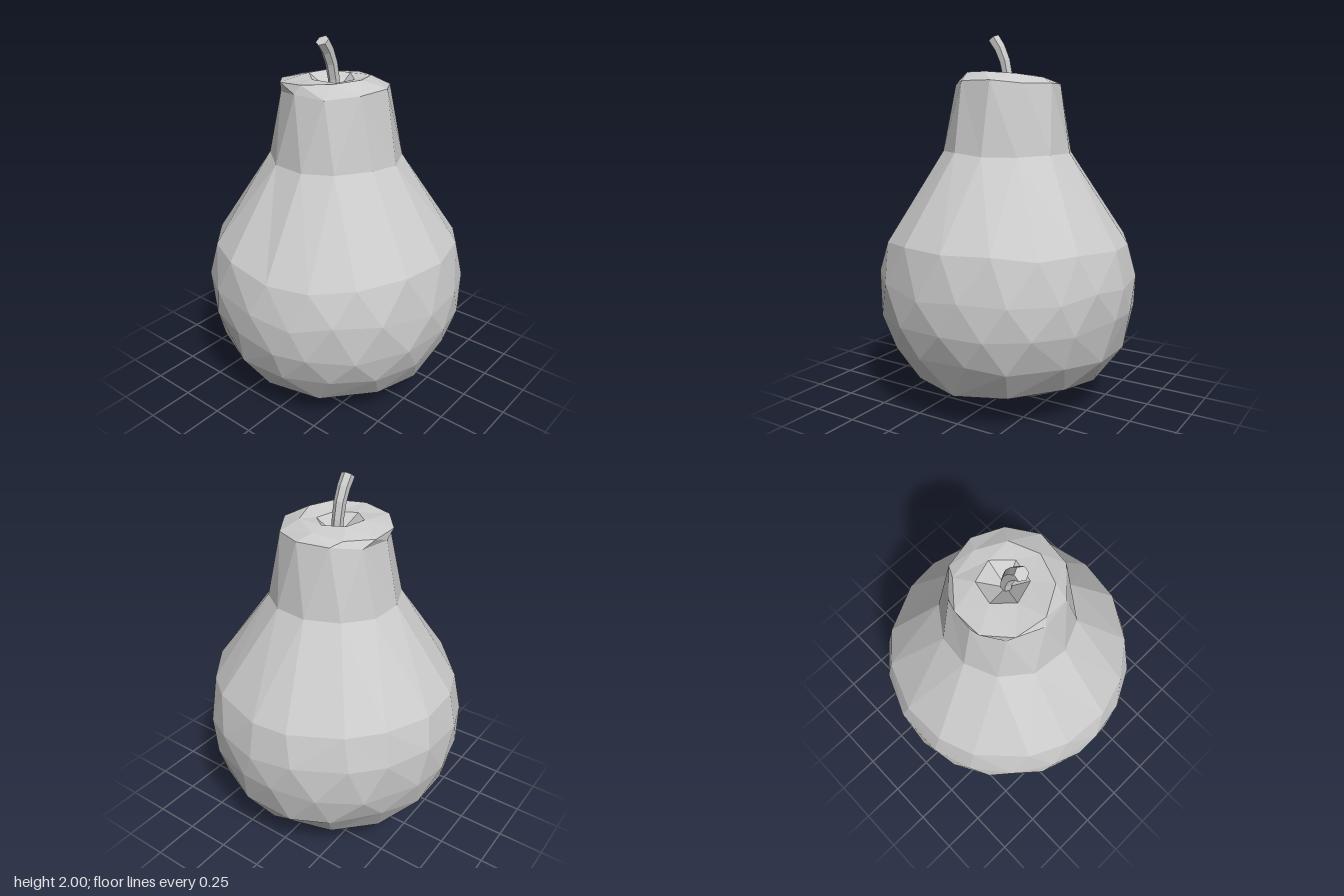
import * as THREE from 'three';

const material = new THREE.MeshStandardMaterial({ color: 0xcccccc, flatShading: true, side: THREE.DoubleSide });

// Small repeatable noise in -1..1
let seed = 7;
const noise = () => {
  seed = (seed * 16807) % 2147483647;
  return (seed / 2147483647) * 2 - 1;
};

// Ring of n points; tiltX and tiltZ slope it, twist is in steps
function ring({ y, r, n, x = 0, z = 0, tiltX = 0, tiltZ = 0, twist = 0, rough = 0 }) {
  return Array.from({ length: n }, (_, i) => {
    const a = ((i + twist + noise() * rough * 6) / n) * Math.PI * 2;
    const px = x + Math.sin(a) * r;
    const pz = z + Math.cos(a) * r;
    return { a, p: [px, y + px * tiltX + pz * tiltZ + noise() * rough, pz] };
  });
}

// Joins two rings of any point counts with triangles, in order of angle
function stitch(low, high, out) {
  const at = (loop, i) => loop[i % loop.length].p;
  const angle = (loop, i) => loop[i % loop.length].a + Math.floor(i / loop.length) * Math.PI * 2;
  const endLow = low.length > 1 ? low.length : 0;
  const endHigh = high.length > 1 ? high.length : 0;
  let i = 0, j = 0;
  while (i < endLow || j < endHigh) {
    const stepLow = j >= endHigh || (i < endLow && angle(low, i + 1) <= angle(high, j + 1));
    if (stepLow) {
      out.push(...at(low, i), ...at(low, i + 1), ...at(high, j));
      i++;
    } else {
      out.push(...at(low, i), ...at(high, j + 1), ...at(high, j));
      j++;
    }
  }
}

// Faceted pear body, from the underside up and over into the dimple
function createBody() {
  const rings = [
    { y: 0.025, r: 0, n: 1 },
    { y: 0.025, r: 0.24, n: 7, tiltX: 0.06, tiltZ: 0.1, twist: 0.4 },
    { y: 0.19, r: 0.55, n: 12, rough: 0.02 },
    { y: 0.36, r: 0.655, n: 16, twist: 0.5, rough: 0.025 },
    { y: 0.54, r: 0.703, n: 18, rough: 0.03 },
    { y: 0.71, r: 0.708, n: 18, twist: 0.5, rough: 0.025 },
    { y: 0.91, r: 0.665, n: 17, rough: 0.025 },
    { y: 1.38, r: 0.352, n: 12, twist: 0.3, rough: 0.01 },
    { y: 1.74, r: 0.283, n: 10, tiltZ: 0.05, twist: 0.3, rough: 0.01 },
    { y: 1.785, r: 0.238, n: 9, x: -0.025, z: -0.055, tiltX: -0.04, tiltZ: 0.1 },
    { y: 1.785, r: 0.125, n: 6, z: -0.03, tiltZ: -0.06, twist: 0.3 },
    { y: 1.69, r: 0, n: 1, z: -0.01 },
  ].map(ring);
  const positions = [];
  for (let k = 0; k + 1 < rings.length; k++) stitch(rings[k], rings[k + 1], positions);
  const geometry = new THREE.BufferGeometry();
  geometry.setAttribute('position', new THREE.Float32BufferAttribute(positions, 3));
  geometry.computeVertexNormals();
  const body = new THREE.Mesh(geometry, material);
  body.name = 'pearBody';
  return body;
}

// Six-sided stem, a cylinder bent along a curve
function createStem() {
  const curve = new THREE.CatmullRomCurve3([
    new THREE.Vector3(0.0, 1.68, -0.01),
    new THREE.Vector3(-0.012, 1.81, -0.01),
    new THREE.Vector3(-0.045, 1.91, -0.01),
    new THREE.Vector3(-0.095, 1.983, -0.01),
  ]);
  const geometry = new THREE.CylinderGeometry(0.035, 0.029, 1, 6, 4);
  geometry.rotateY(Math.PI / 6);
  const pos = geometry.attributes.position;
  for (let i = 0; i < pos.count; i++) {
    const t = THREE.MathUtils.clamp(pos.getY(i) + 0.5, 0, 1);
    const p = curve.getPoint(t);
    const d = curve.getTangent(t);
    const side = pos.getX(i);
    pos.setXYZ(i, p.x + d.y * side, p.y - d.x * side, p.z + pos.getZ(i));
  }
  geometry.computeVertexNormals();
  const stem = new THREE.Mesh(geometry, material);
  stem.name = 'stem';
  return stem;
}

export function createModel() {
  seed = 7;
  const pear = new THREE.Group();
  pear.name = 'pear';
  pear.add(createBody(), createStem());
  return pear;
}
